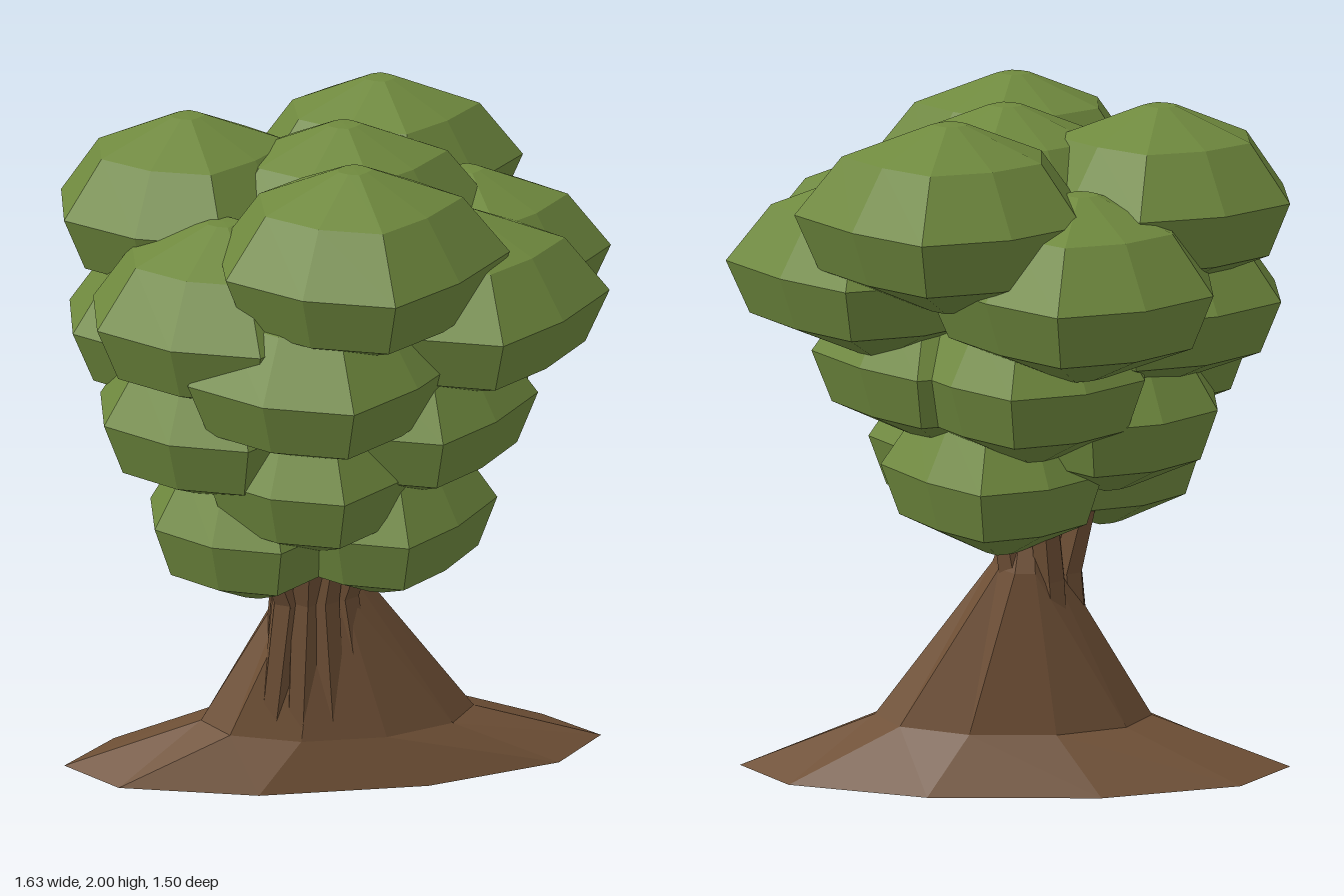
import * as THREE from 'three';

const bark = new THREE.MeshStandardMaterial({ color: 0x6f5036 });
bark.name = 'bark brown';
const leaf = new THREE.MeshStandardMaterial({ color: 0x6f893e });
leaf.name = 'leaf green';

// Faceted look: separate the faces so that each has its own normal
function faceted(geometry) {
  const g = geometry.toNonIndexed();
  g.computeVertexNormals();
  return g;
}

// Nine-sided leaf clump with alternating long and short spokes
function clumpGeometry() {
  const profile = [[0, -0.255], [0.2, -0.255], [0.85, -0.15], [1, 0], [0.69, 0.16], [0.12, 0.248], [0, 0.25]]
    .map(([r, y]) => new THREE.Vector2(r, y));
  const g = new THREE.LatheGeometry(profile, 9, Math.PI / 2);
  const spokes = [0.42, 0.33, 0.37, 0.335, 0.375];
  const p = g.attributes.position;
  for (let i = 0; i < p.count; i++) {
    const step = Math.round(Math.abs(Math.atan2(p.getZ(i), p.getX(i))) / (Math.PI * 2 / 9));
    const r = spokes[Math.min(step, 4)];
    p.setXYZ(i, p.getX(i) * r, p.getY(i), p.getZ(i) * r);
  }
  return faceted(g);
}

// Trunk: ten-sided elliptical rings [centre x, y, centre z, radius x, radius z]
function trunkGeometry() {
  const rings = [
    [0, 0, -0.025, 0.815, 0.25],
    [0.005, 0.15, 0.01, 0.41, 0.17],
    [-0.03, 0.63, 0.01, 0.095, 0.12],
    [-0.04, 0.85, 0.03, 0.03, 0.05],
  ];
  const profile = [[0, 0], [1, 0], [1, 1], [1, 2], [1, 3], [0, 3]].map(([r, y]) => new THREE.Vector2(r, y));
  const g = new THREE.LatheGeometry(profile, 10, Math.PI / 2);
  const p = g.attributes.position;
  for (let i = 0; i < p.count; i++) {
    const [cx, y, cz, rx, rz] = rings[Math.round(p.getY(i))];
    p.setXYZ(i, cx + p.getX(i) * rx, y, cz + p.getZ(i) * rz);
  }
  return faceted(g);
}

// Tapered limb between two points
function limb(name, from, to, r0, r1) {
  const a = new THREE.Vector3(...from), b = new THREE.Vector3(...to);
  const d = b.clone().sub(a);
  const mesh = new THREE.Mesh(faceted(new THREE.CylinderGeometry(r1, r0, d.length(), 6)), bark);
  mesh.name = name;
  mesh.position.copy(a).addScaledVector(d, 0.5);
  mesh.quaternion.setFromUnitVectors(new THREE.Vector3(0, 1, 0), d.normalize());
  return mesh;
}

export function createModel() {
  const tree = new THREE.Group();
  tree.name = 'tree';

  const trunk = new THREE.Mesh(trunkGeometry(), bark);
  trunk.name = 'trunk';
  tree.add(trunk);

  // Clumps: x, y, z, horizontal scale
  const clumps = [
    // crown
    [0.005, 1.75, 0.385, 1], [0.17, 1.75, -0.385, 1], [-0.4, 1.75, -0.11, 1], [0.025, 1.735, -0.03, 1],
    // upper tiers
    [0.385, 1.56, -0.12, 1], [0.315, 1.56, 0.22, 1], [-0.33, 1.56, 0.23, 1], [-0.18, 1.56, -0.385, 1],
    [-0.1, 1.45, 0.375, 1], [-0.39, 1.45, -0.02, 1],
    // middle tiers
    [0.21, 1.27, -0.01, 0.88], [0.17, 1.27, 0.24, 0.88], [-0.355, 1.27, 0.22, 0.9], [-0.05, 1.27, -0.2, 0.88],
    [-0.1, 1.13, 0.31, 0.84], [-0.27, 1.13, -0.02, 0.86],
    // lowest tier
    [0.09, 0.945, 0.225, 0.82], [-0.26, 0.945, 0.225, 0.8], [0.04, 0.945, -0.055, 0.82],
  ];
  const foliage = new THREE.Group();
  foliage.name = 'foliage';
  const geometry = clumpGeometry();
  for (const [x, y, z, s] of clumps) {
    const clump = new THREE.Mesh(geometry, leaf);
    clump.name = 'leafClump';
    clump.position.set(x, y, z);
    clump.scale.set(s, 1, s);
    foliage.add(clump);
  }
  tree.add(foliage);

  // Stems rise along the trunk, then bend out into the lower clumps: foot, elbow, tip
  const stems = [
    [[-0.2, 0.12, 0.09], [-0.15, 0.6, 0.11], [-0.26, 0.95, 0.22]],
    [[-0.19, 0.15, 0.02], [-0.15, 0.6, 0.03], [-0.27, 1.13, -0.02]],
    [[-0.13, 0.15, -0.07], [-0.1, 0.6, -0.05], [-0.05, 1.27, -0.15]],
    [[-0.12, 0.08, 0.12], [-0.1, 0.6, 0.12], [-0.1, 1.1, 0.28]],
    [[-0.02, 0.08, 0.12], [-0.05, 0.6, 0.12], [0.0, 1.0, 0.2]],
    [[0.08, 0.08, 0.11], [0.01, 0.6, 0.09], [0.09, 0.95, 0.22]],
    [[0.05, 0.15, -0.06], [0.0, 0.6, -0.04], [0.06, 0.95, -0.06]],
  ];
  const branches = new THREE.Group();
  branches.name = 'branches';
  for (const [foot, elbow, tip] of stems) {
    branches.add(limb('stem', foot, elbow, 0.045, 0.05), limb('branch', elbow, tip, 0.05, 0.03));
  }
  tree.add(branches);
  return tree;
}
